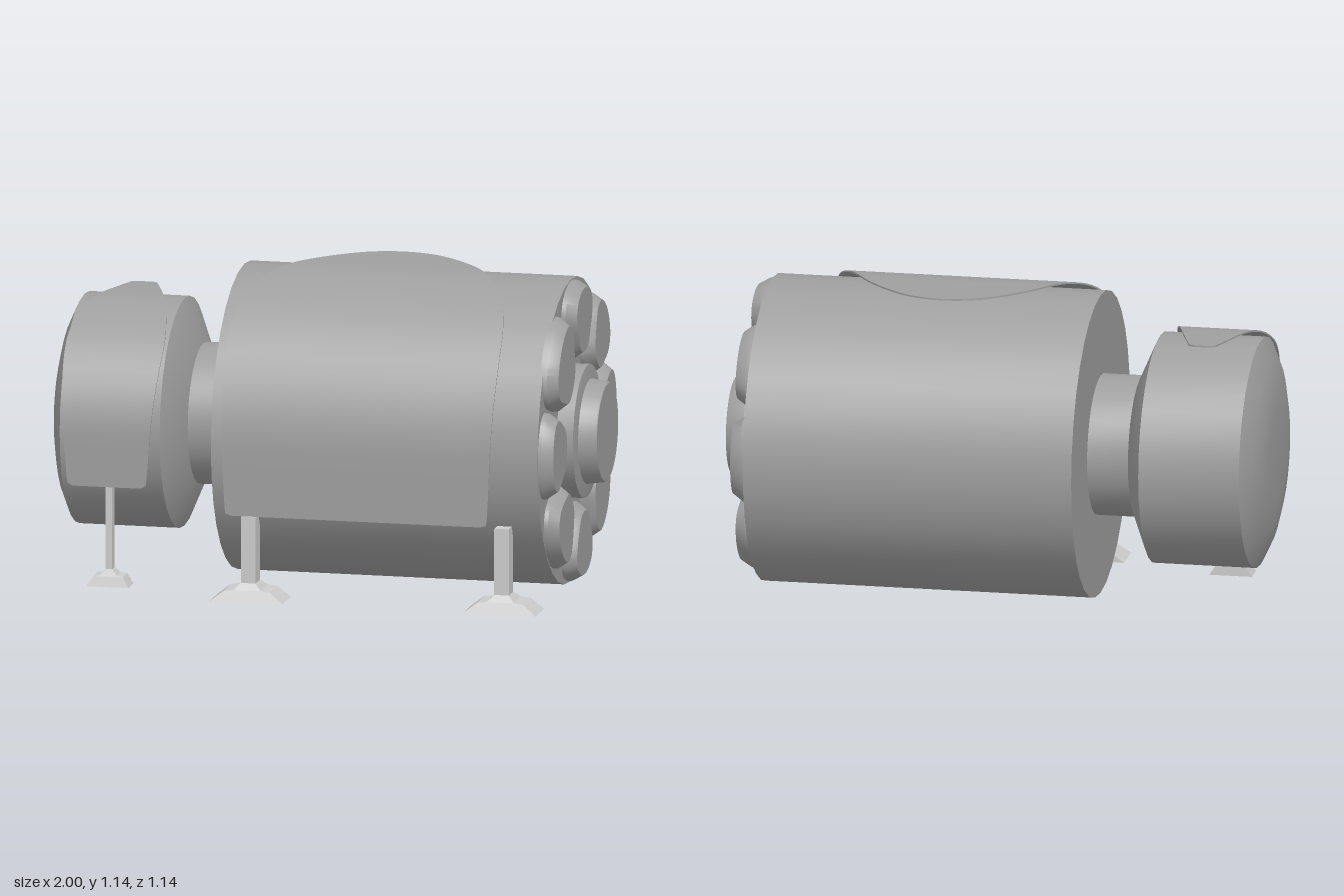
import * as THREE from 'three';
import { toCreasedNormals } from 'three/addons/utils/BufferGeometryUtils.js';

const bodyGrey = new THREE.MeshStandardMaterial({ color: 0x9f9f9f });
const legGrey = new THREE.MeshStandardMaterial({ color: 0xcccccc });
const AXIS_Y = 0.566, AXIS_Z = -0.01;

function part(name, geometry, parent, material = bodyGrey) {
  const mesh = new THREE.Mesh(geometry, material);
  mesh.name = name;
  parent.add(mesh);
  return mesh;
}

// Solid of revolution about the long (x) axis; profile is [x, radius] from left to right
function turned(name, profile, parent) {
  const points = profile.map(([x, r]) => new THREE.Vector2(r, x));
  const geo = toCreasedNormals(new THREE.LatheGeometry(points, 32), 0.55);
  geo.rotateZ(-Math.PI / 2);
  geo.translate(0, AXIS_Y, AXIS_Z);
  return part(name, geo, parent);
}

// Closed solid through rings of equal length, counter-clockwise seen from the last ring
function loft(rings, crease = 0.5) {
  const pos = [];
  const tri = (...corners) => corners.forEach((p) => pos.push(p.x, p.y, p.z));
  const n = rings[0].length;
  for (let k = 0; k + 1 < rings.length; k++) {
    const lo = rings[k], hi = rings[k + 1];
    for (let i = 0; i < n; i++) {
      const j = (i + 1) % n;
      tri(lo[i], lo[j], hi[j]);
      tri(lo[i], hi[j], hi[i]);
    }
  }
  const first = rings[0], last = rings[rings.length - 1];
  for (let i = 1; i + 1 < n; i++) {
    tri(first[0], first[i + 1], first[i]);
    tri(last[0], last[i], last[i + 1]);
  }
  const geo = new THREE.BufferGeometry();
  geo.setAttribute('position', new THREE.Float32BufferAttribute(pos, 3));
  return toCreasedNormals(geo, crease);
}

// Rounded wedge pad: y is radial, z is height above the end plate
function padGeometry(size) {
  const half = [[0.07, 0.28], [0.125, 0.355], [0.16, 0.44], [0.142, 0.5], [0.08, 0.54]];
  const outline = [[0, 0.265], ...half, [0, 0.553],
    ...half.map(([t, r]) => [-t, r]).reverse()];
  const curve = new THREE.CatmullRomCurve3(
    outline.map(([t, r]) => new THREE.Vector3(t, r, 0)), true);
  const base = curve.getPoints(36).slice(0, -1);
  const ring = (scale, z) => base.map((p) =>
    new THREE.Vector3(p.x * scale * size, 0.43 + (p.y - 0.43) * scale * size, z));
  return loft([ring(1, -0.01), ring(0.98, 0.015), ring(0.81, 0.052)]);
}

// Thin curved plate: straight up the front, a quarter turn over the body, then straight back.
// widths lists [distance along the path, half width]
function shield(name, { x, bottom, ry, rz, back, widths }, parent) {
  const rise = AXIS_Y - bottom, arc = (Math.PI / 4) * (ry + rz);
  const thickness = 0.006, cols = 8;
  const pathAt = (s, inset) => {
    if (s < rise) return [bottom + s, AXIS_Z + rz - inset];
    if (s < rise + arc) {
      const a = ((s - rise) / arc) * Math.PI / 2;
      return [AXIS_Y + (ry - inset) * Math.sin(a), AXIS_Z + (rz - inset) * Math.cos(a)];
    }
    return [AXIS_Y + ry - inset, Math.max(back, AXIS_Z - (s - rise - arc))];
  };
  const rows = new THREE.SplineCurve(widths.map(([s, w]) => new THREE.Vector2(s, w))).getPoints(72);
  const rings = rows.map((row) => {
    const strip = (inset) => {
      const [y, z] = pathAt(Math.max(0, row.x), inset);
      return Array.from({ length: cols + 1 }, (_, i) =>
        new THREE.Vector3(x + Math.max(0, row.y) * (2 * i / cols - 1), y, z));
    };
    return [...strip(0), ...strip(thickness).reverse()];
  });
  return part(name, loft(rings), parent);
}

// Support leg: levels are [y, half width in x, back z, front z]
function leg(name, x, levels, parent) {
  const rings = levels.map(([y, w, z0, z1]) => [
    new THREE.Vector3(x - w, y, z1), new THREE.Vector3(x + w, y, z1),
    new THREE.Vector3(x + w, y, z0), new THREE.Vector3(x - w, y, z0)]);
  return part(name, loft(rings, 0.1), parent, legGrey);
}

export function createModel() {
  const model = new THREE.Group();
  model.name = 'podAssembly';

  // Main drum, neck and domed head
  turned('mainDrum', [[-0.345, 0], [-0.345, 0.558], [0.864, 0.558], [0.864, 0]], model);
  turned('neck', [[-0.51, 0.257], [-0.335, 0.257]], model);
  turned('head', [[-1, 0], [-1, 0.17], [-0.992, 0.26], [-0.97, 0.345], [-0.935, 0.42],
    [-0.565, 0.42], [-0.497, 0.265], [-0.497, 0]], model);

  // End hub with a raised button
  turned('endHub', [[0.85, 0.243], [0.925, 0.243], [0.933, 0.2], [0.935, 0]], model);
  turned('hubButton', [[0.93, 0.192], [0.995, 0.182], [1, 0.178], [1, 0]], model);

  // Ring of eight pads on the end plate, one of them larger
  const pads = new THREE.Group();
  pads.name = 'endPads';
  pads.position.set(0.864, AXIS_Y, AXIS_Z);
  pads.rotation.y = Math.PI / 2;
  model.add(pads);
  const padGeo = padGeometry(1), largePadGeo = padGeometry(1.14);
  for (let i = 0; i < 8; i++) {
    part('endPad', i === 1 ? largePadGeo : padGeo, pads).rotation.z = i * Math.PI / 4;
  }

  // Front shields
  shield('drumShield', {
    x: 0.195, bottom: 0.32, ry: 0.579, rz: 0.577, back: -0.245,
    widths: [[0, 0.46], [0.008, 0.476], [0.03, 0.485], [0.25, 0.495], [0.6, 0.505],
      [0.8, 0.492], [0.964, 0.437], [1.153, 0.335], [1.263, 0.245], [1.343, 0.15],
      [1.378, 0.07], [1.388, 0]],
  }, model);
  shield('headShield', {
    x: -0.75, bottom: 0.38, ry: 0.437, rz: 0.472, back: -0.185,
    widths: [[0, 0.125], [0.008, 0.138], [0.03, 0.147], [0.2, 0.16], [0.5, 0.18],
      [0.64, 0.172], [0.81, 0.132], [1.04, 0.056], [1.062, 0.046], [1.072, 0.03]],
  }, model);

  // Legs with stepped, bevelled feet
  for (const x of [-0.21, 0.727]) {
    leg('drumLeg', x, [[0, 0.135, 0.428, 0.57], [0.038, 0.085, 0.428, 0.552],
      [0.042, 0.05, 0.43, 0.55], [0.065, 0.027, 0.457, 0.531],
      [0.31, 0.027, 0.457, 0.531]], model);
  }
  leg('headLeg', -0.757, [[0, 0.078, 0.331, 0.417], [0.036, 0.055, 0.331, 0.405],
    [0.04, 0.032, 0.333, 0.403], [0.062, 0.0125, 0.35, 0.393],
    [0.38, 0.0125, 0.35, 0.393]], model);

  return model;
}
